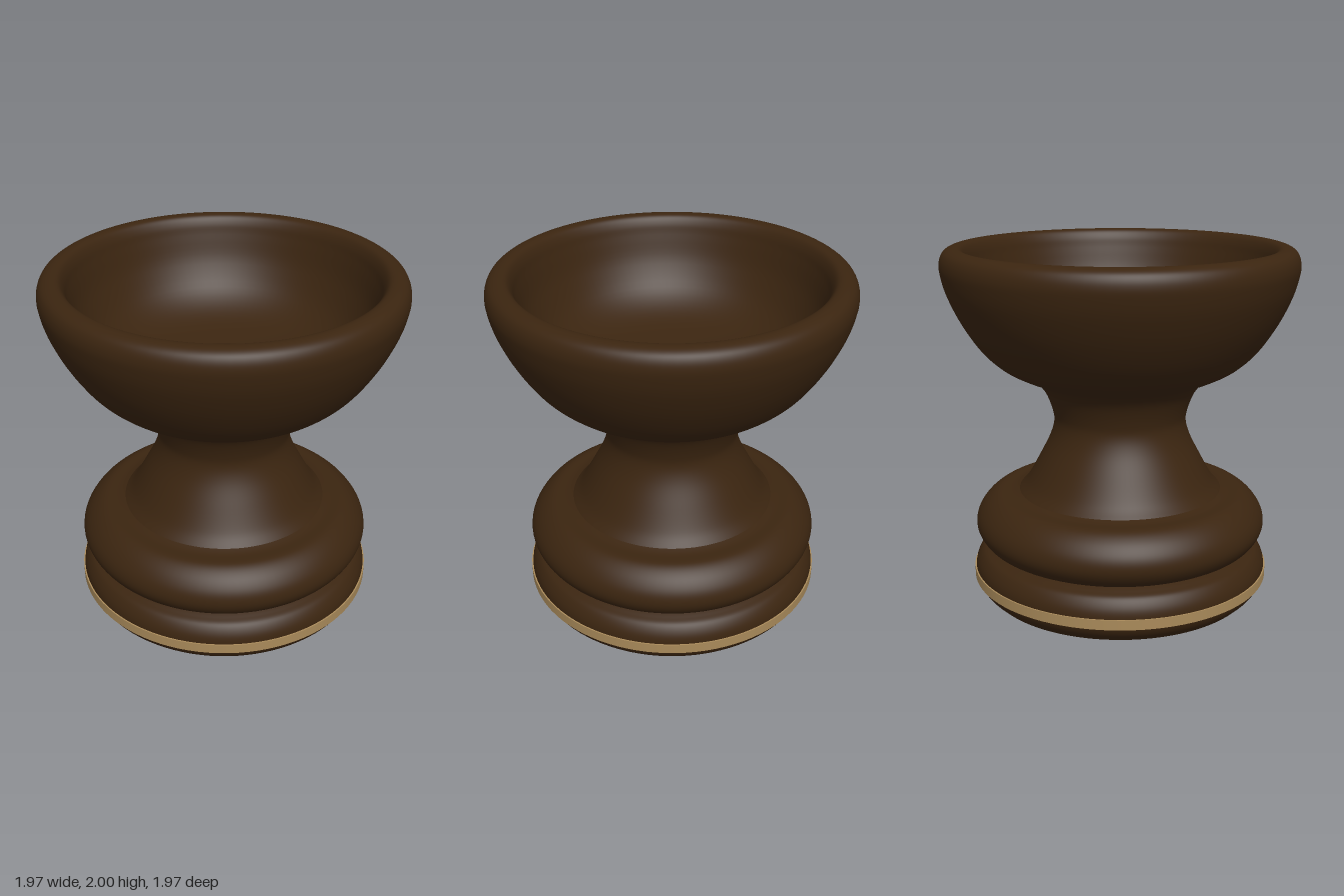
import * as THREE from 'three';

const SEGMENTS = 96;

// Turned part: a smooth curve through [radius, height] points, spun about y
function turned(name, points, material, smooth = true) {
  let profile = points.map(([r, y]) => new THREE.Vector2(r, y));
  if (smooth) profile = new THREE.SplineCurve(profile).getPoints(points.length * 5);
  profile.forEach((p) => { p.x = Math.max(p.x, 0); });
  const mesh = new THREE.Mesh(new THREE.LatheGeometry(profile, SEGMENTS), material);
  mesh.name = name;
  return mesh;
}

export function createModel() {
  const wood = new THREE.MeshStandardMaterial({ color: 0x3b2510 });
  wood.name = 'dark wood';
  const gold = new THREE.MeshStandardMaterial({ color: 0xa98a5a });
  gold.name = 'pale gold';

  const model = new THREE.Group();
  model.name = 'pedestalBowl';

  // Foot: flat underside and rounded disc
  model.add(turned('footUnderside', [[0, 0], [0.55, 0], [0.77, 0.015]], wood, false));
  model.add(turned('foot', [
    [0.77, 0.015], [0.815, 0.06], [0.838, 0.11], [0.842, 0.17],
    [0.83, 0.22], [0.8, 0.265], [0.76, 0.285], [0.72, 0.3],
  ], wood));

  // Inlaid band around the foot
  model.add(turned('footBand', [
    [0.83, 0.11], [0.85, 0.11], [0.85, 0.166], [0.83, 0.166],
  ].flatMap((p, i) => (i === 1 || i === 2 ? [p, p] : [p])), gold, false));

  // Collar: bulging ring above the foot
  model.add(turned('collar', [
    [0.72, 0.295], [0.78, 0.33], [0.82, 0.385], [0.83, 0.44], [0.812, 0.5],
    [0.765, 0.56], [0.7, 0.6], [0.62, 0.605], [0.56, 0.622],
  ], wood));

  // Stem: waisted column
  model.add(turned('stem', [
    [0.58, 0.615], [0.53, 0.675], [0.46, 0.8], [0.4, 0.92], [0.375, 1.01],
    [0.383, 1.08], [0.415, 1.17], [0.455, 1.23], [0.5, 1.268],
  ], wood));

  // Bowl: outer wall, rolled rim and hollow inside
  model.add(turned('bowl', [
    [0.49, 1.26], [0.59, 1.303], [0.68, 1.355], [0.78, 1.45], [0.88, 1.6],
    [0.95, 1.75], [0.98, 1.86], [0.983, 1.92], [0.968, 1.965], [0.94, 1.99],
    [0.9, 2], [0.865, 1.99], [0.84, 1.95], [0.82, 1.88], [0.77, 1.73],
    [0.67, 1.58], [0.5, 1.48], [0.25, 1.435], [0, 1.425],
  ], wood));

  return model;
}
